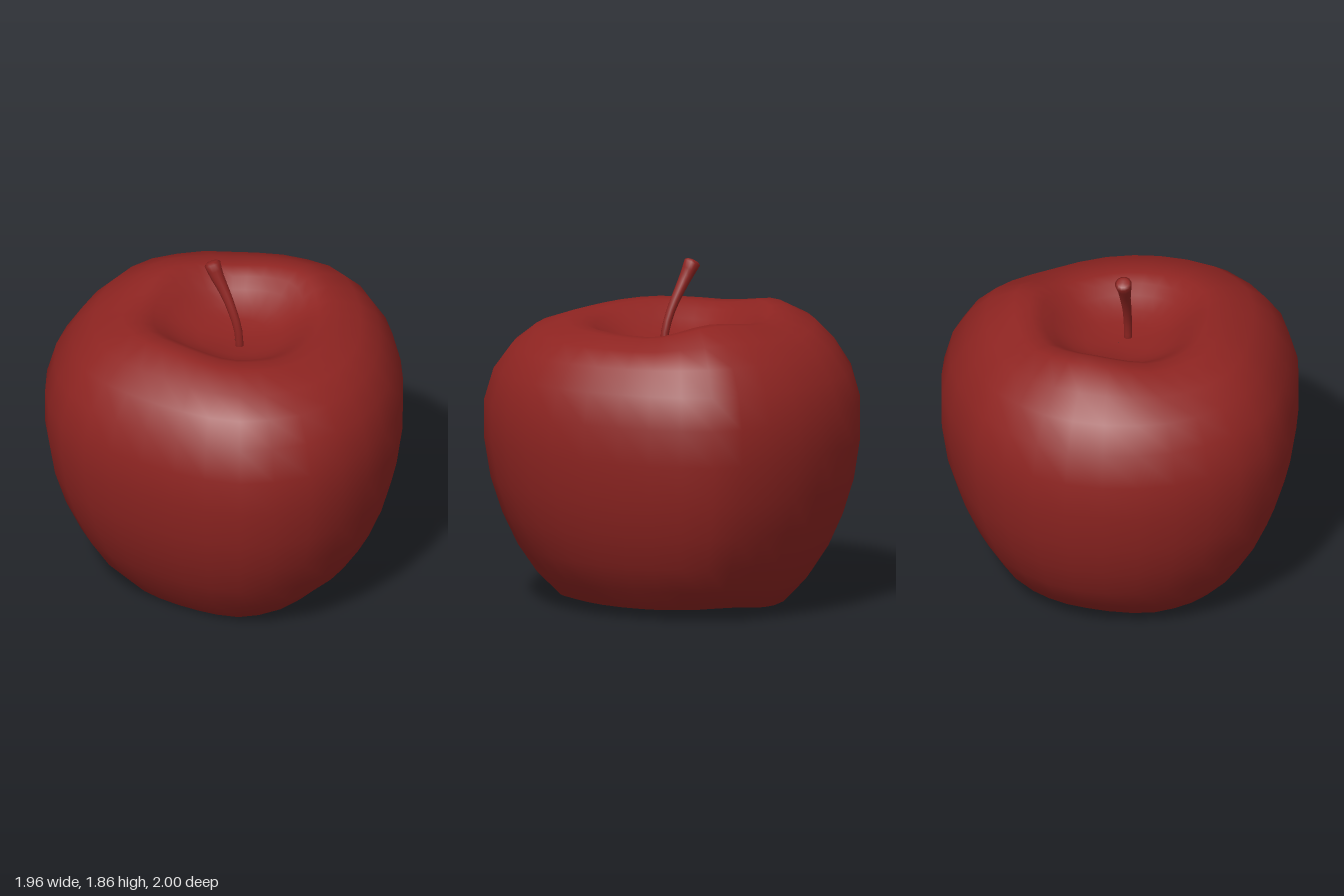
import * as THREE from 'three';

const V = (x, y, z) => new THREE.Vector3(x, y, z);

// Closed smooth skin through rings of equal length, listed from top to bottom
function loft(rings, name, material) {
  const n = rings[0].length;
  const index = [];
  for (let i = 0; i < rings.length - 1; i++) {
    for (let j = 0; j < n; j++) {
      const k = (j + 1) % n;
      const a = i * n + j, b = i * n + k, c = a + n, d = b + n;
      index.push(a, b, c, b, d, c);
    }
  }
  const geometry = new THREE.BufferGeometry().setFromPoints(rings.flat());
  geometry.setIndex(index);
  geometry.computeVertexNormals();
  // The end rings are nearly points, so each shares one averaged normal
  const normals = geometry.attributes.normal;
  for (const start of [0, (rings.length - 1) * n]) {
    const mean = V(0, 0, 0);
    for (let j = 0; j < n; j++) mean.add(V(0, 0, 0).fromBufferAttribute(normals, start + j));
    mean.normalize();
    for (let j = 0; j < n; j++) normals.setXYZ(start + j, mean.x, mean.y, mean.z);
  }
  const mesh = new THREE.Mesh(geometry, material);
  mesh.name = name;
  return mesh;
}

// Widest outline of the fruit (x, z), starting at +x and turning towards +z
const OUTLINE = [
  [0.98, 0], [0.97, 0.16], [0.9, 0.32], [0.8, 0.47], [0.68, 0.6], [0.53, 0.74], [0.36, 0.86], [0.18, 0.94],
  [0, 0.985], [-0.2, 0.995], [-0.41, 0.96], [-0.59, 0.86], [-0.73, 0.74], [-0.83, 0.57], [-0.89, 0.4], [-0.94, 0.2],
  [-0.97, 0], [-0.98, -0.18], [-0.95, -0.38], [-0.86, -0.56], [-0.74, -0.7], [-0.59, -0.83], [-0.41, -0.92], [-0.22, -0.98],
  [-0.02, -1], [0.17, -0.98], [0.36, -0.91], [0.54, -0.81], [0.67, -0.67], [0.78, -0.53], [0.88, -0.36], [0.94, -0.18],
];

// Rim waviness every 45 degrees, added to the profile height
const TOP_WAVE = [0.025, -0.05, -0.045, -0.02, 0, -0.015, 0.04, -0.01];
const BOTTOM_WAVE = [0.015, 0.005, 0.008, -0.033, -0.037, -0.02, 0.01, -0.022];

// Profile: [scale of outline, height, top wave weight, bottom wave weight]
const PROFILE = [
  [0.002, 1.385, 0, 0], [0.09, 1.39, 0, 0], [0.19, 1.405, 0.1, 0], [0.28, 1.435, 0.3, 0],
  [0.37, 1.49, 0.6, 0], [0.43, 1.54, 0.85, 0], [0.5, 1.573, 1, 0], [0.59, 1.575, 1, 0],
  [0.75, 1.51, 0.6, 0], [0.86, 1.41, 0.2, 0], [0.95, 1.275, 0, 0], [1, 1.1, 0, 0],
  [1, 0.9, 0, 0], [0.965, 0.68, 0, 0], [0.905, 0.49, 0, 0], [0.825, 0.315, 0, 0],
  [0.725, 0.17, 0, 0.5], [0.6, 0.05, 0, 1], [0.51, 0.039, 0, 1], [0.42, 0.046, 0, 1],
  [0.33, 0.085, 0, 0.6], [0.23, 0.125, 0, 0.2], [0.14, 0.13, 0, 0], [0.06, 0.105, 0, 0], [0.002, 0.095, 0, 0],
];

function wave(values, t) {
  const u = t * values.length;
  const i = Math.floor(u);
  const f = (1 - Math.cos((u - i) * Math.PI)) / 2;
  return THREE.MathUtils.lerp(values[i % values.length], values[(i + 1) % values.length], f);
}

function createBody(material) {
  const rings = PROFILE.map(([s, y, top, bottom]) => OUTLINE.map(([x, z], j) => {
    const t = j / OUTLINE.length;
    return V(x * s, y + top * wave(TOP_WAVE, t) + bottom * wave(BOTTOM_WAVE, t), z * s);
  }));
  return loft(rings, 'body', material);
}

function createStem(material) {
  const path = new THREE.CatmullRomCurve3([
    V(-0.033, 1.35, 0.07), V(-0.035, 1.48, 0.06), V(-0.043, 1.6, 0.02),
    V(-0.05, 1.7, -0.03), V(-0.06, 1.78, -0.075), V(-0.062, 1.855, -0.113),
  ]);
  const sides = 12, steps = 10;
  const ring = (t, radius) => {
    const q = new THREE.Quaternion().setFromUnitVectors(V(0, 1, 0), path.getTangent(t));
    const centre = path.getPoint(t);
    return Array.from({ length: sides }, (_, j) => {
      const a = (j / sides) * Math.PI * 2;
      return V(Math.cos(a) * radius, 0, Math.sin(a) * radius).applyQuaternion(q).add(centre);
    });
  };
  // Rounded tip, then narrowing from tip to root
  const rings = [ring(1, 0.002), ring(0.99, 0.032)];
  for (let i = steps; i >= 0; i--) {
    const t = (i / steps) * 0.96;
    rings.push(ring(t, 0.022 + 0.026 * t ** 2.5));
  }
  rings.push(ring(0, 0.002));
  return loft(rings, 'stem', material);
}

export function createModel() {
  const group = new THREE.Group();
  group.name = 'apple';
  const skin = new THREE.MeshStandardMaterial({ color: 0x8e2421 });
  group.add(createBody(skin), createStem(skin));
  return group;
}
